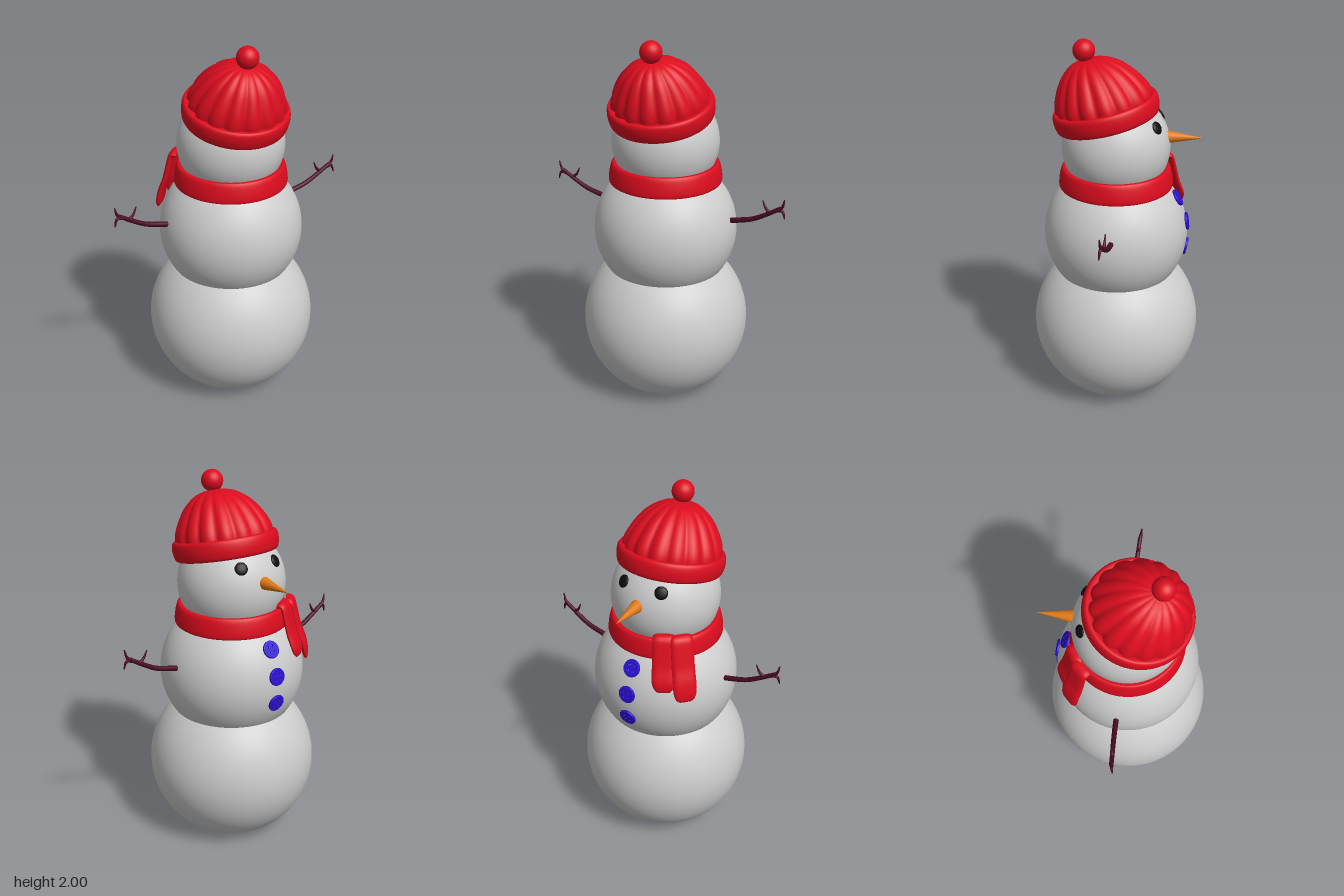
import * as THREE from 'three';
import { mergeVertices } from 'three/addons/utils/BufferGeometryUtils.js';

const mat = (color, side = THREE.FrontSide) => new THREE.MeshStandardMaterial({ color, side });
const V3 = (x, y, z) => new THREE.Vector3(x, y, z);

// Move every vertex by a rule, then weld and smooth the result
function reshape(geometry, rule) {
  const p = geometry.attributes.position;
  const v = V3(0, 0, 0);
  for (let i = 0; i < p.count; i++) {
    rule(v.fromBufferAttribute(p, i), i);
    p.setXYZ(i, v.x, v.y, v.z);
  }
  geometry.deleteAttribute('normal');
  geometry.deleteAttribute('uv');
  const welded = mergeVertices(geometry, 1e-5);
  welded.computeVertexNormals();
  return welded;
}

// Revolve a smooth profile of [radius, height] points
function revolve(points, divisions = 24, segments = 64) {
  const curve = new THREE.SplineCurve(points.map(([r, y]) => new THREE.Vector2(r, y)));
  const profile = curve.getPoints(divisions);
  profile.forEach(p => { p.x = Math.max(p.x, 0); });
  return new THREE.LatheGeometry(profile, segments);
}

// Tube that narrows from radius r0 to r1
function twig(points, r0, r1) {
  const curve = new THREE.CatmullRomCurve3(points);
  const rings = 14, sides = 10;
  return reshape(new THREE.TubeGeometry(curve, rings, 1, sides), (v, i) => {
    const t = Math.floor(i / (sides + 1)) / rings;
    const c = curve.getPointAt(t);
    v.sub(c).multiplyScalar(r0 + (r1 - r0) * t).add(c);
  });
}

// Hanging scarf end that follows the body; angle is measured from the face towards -x
function scarfTail(angle, length, width, lift) {
  const path = new THREE.SplineCurve([[0.275, 1.35], [0.305, 1.345], [0.322, 1.29], [0.345, 1.2],
    [0.375, 1.12], [0.395, 1.02]].map(([r, y]) => new THREE.Vector2(r + lift, y)));
  const geometry = reshape(new THREE.BoxGeometry(2, 1, 2, 12, 30, 2), v => {
    const t = 0.5 - v.y;
    const c = path.getPoint(t * length);
    const d = path.getTangent(t * length);
    const end = Math.max(0, (t - 0.82) / 0.18);
    const half = width / 2 * (0.9 + 0.1 * t) * Math.sqrt(1 - 0.7 * end ** 3);
    const thick = 0.016 * v.z * Math.sqrt(Math.max(0.03, 1 - v.x ** 4)) * (1 - 0.6 * end ** 4);
    v.set(v.x * half, c.y + d.x * thick, c.x - d.y * thick);
  });
  return geometry.rotateY(Math.PI + angle);
}

export function createModel() {
  const model = new THREE.Group();
  const snow = mat(0xcccccc), red = mat(0xdc0c1e), wool = mat(0xdc0c1e, THREE.DoubleSide);
  const blue = mat(0x2a0fd0), bark = mat(0x4a0a22, THREE.DoubleSide);
  const add = (name, geometry, material, parent = model) => {
    const mesh = new THREE.Mesh(geometry, material);
    mesh.name = name;
    parent.add(mesh);
    return mesh;
  };

  // Snowballs: the lowest one is flattened where it stands
  const base = [[0, 0], [0.1, 0], [0.19, 0.003], [0.235, 0.015]];
  for (let i = 0; i <= 12; i++) {
    const a = -0.9 + i * (Math.PI / 2 + 0.9) / 12;
    base.push([0.46 * Math.cos(a), 0.4 + 0.46 * Math.sin(a)]);
  }
  add('lowerBody', revolve(base, 64), snow);
  add('middleBody', new THREE.SphereGeometry(0.39, 64, 40), snow).position.y = 0.95;
  const headCentre = V3(0, 1.44, 0);
  add('head', new THREE.SphereGeometry(0.287, 64, 40), snow).position.copy(headCentre);

  // Eyes
  for (const s of [-1, 1]) {
    const eye = add(s > 0 ? 'leftEye' : 'rightEye', new THREE.SphereGeometry(0.034, 20, 14), mat(0x0c0c0c));
    const out = V3(0.11 * s, 0.145, -0.223);
    eye.position.copy(headCentre).add(out);
    eye.lookAt(out.multiplyScalar(2).add(headCentre));
    eye.scale.z = 0.35;
  }

  // Carrot nose
  const nose = add('nose', new THREE.ConeGeometry(0.034, 0.19, 24), mat(0xe07a14));
  nose.rotation.x = -Math.PI / 2;
  nose.position.set(0, 1.5, -0.365);

  // Buttons with four sewing holes
  const disc = new THREE.Shape().absarc(0, 0, 0.043, 0, Math.PI * 2);
  for (let i = 0; i < 4; i++) {
    const a = Math.PI / 4 + i * Math.PI / 2;
    disc.holes.push(new THREE.Path().absarc(0.021 * Math.cos(a), 0.021 * Math.sin(a), 0.0075, 0, Math.PI * 2, true));
  }
  const buttonGeometry = new THREE.ExtrudeGeometry(disc, {
    depth: 0.006, bevelThickness: 0.004, bevelSize: 0.004, bevelSegments: 2, curveSegments: 16
  });
  for (const y of [1.155, 1.02, 0.87]) {
    const button = add('button', buttonGeometry, blue);
    const z = -Math.sqrt(0.39 ** 2 - (y - 0.95) ** 2);
    button.position.set(0, y, z);
    button.lookAt(0, 2 * y - 0.95, 2 * z);
  }

  // Twig arms with a forked hand and a side shoot
  for (const s of [-1, 1]) {
    const arm = new THREE.Group();
    arm.name = s > 0 ? 'leftArm' : 'rightArm';
    model.add(arm);
    const path = (...pts) => pts.map(([x, y, z]) => V3(x * s, y, z));
    add('branch', twig(path([0.35, 1.035, -0.018], [0.42, 1.052, -0.018], [0.5, 1.075, -0.016],
      [0.575, 1.115, -0.012], [0.65, 1.162, -0.008]), 0.015, 0.011), bark, arm);
    add('upperFinger', twig(path([0.635, 1.152, -0.009], [0.662, 1.172, -0.006], [0.675, 1.217, -0.002]), 0.012, 0.003), bark, arm);
    add('lowerFinger', twig(path([0.63, 1.15, -0.009], [0.665, 1.152, -0.004], [0.681, 1.112, 0]), 0.012, 0.003), bark, arm);
    add('sideShoot', twig(path([0.595, 1.128, -0.012], [0.57, 1.152, -0.014], [0.552, 1.19, -0.016]), 0.01, 0.003), bark, arm);
  }

  // Scarf: neck band and two hanging ends
  const scarf = new THREE.Group();
  scarf.name = 'scarf';
  model.add(scarf);
  add('scarfBand', revolve([[0.27, 1.222], [0.295, 1.22], [0.305, 1.23], [0.303, 1.265], [0.295, 1.305],
    [0.286, 1.326], [0.275, 1.33], [0.255, 1.325]], 32), wool, scarf);
  add('shortScarfEnd', scarfTail(0.52, 0.88, 0.125, 0), red, scarf);
  add('longScarfEnd', scarfTail(0.8, 0.98, 0.125, 0.014), red, scarf);

  // Knitted hat, tipped backwards
  const hat = new THREE.Group();
  hat.name = 'hat';
  hat.position.set(0, 1.62, 0.05);
  hat.rotation.x = 0.236;
  model.add(hat);
  add('hatBrim', revolve([[0.235, -0.04], [0.255, -0.048], [0.272, -0.038], [0.28, -0.01], [0.282, 0.02],
    [0.278, 0.045], [0.265, 0.056], [0.235, 0.05]], 32), wool, hat);
  const crown = revolve([[0.258, 0.02], [0.256, 0.08], [0.23, 0.145], [0.178, 0.22], [0.115, 0.27],
    [0.06, 0.29], [0, 0.298]], 28, 128);
  add('hatCrown', reshape(crown, v => {
    const fold = 1 - Math.abs(Math.sin(8 * Math.atan2(v.x, v.z)));
    const k = 1 - 0.075 * fold;
    v.set(v.x * k, v.y, v.z * k + 0.03 * (v.y / 0.3) ** 2);
  }), wool, hat);
  add('pompom', new THREE.SphereGeometry(0.058, 32, 20), red, hat).position.set(0, 0.343, 0.036);

  return model;
}
